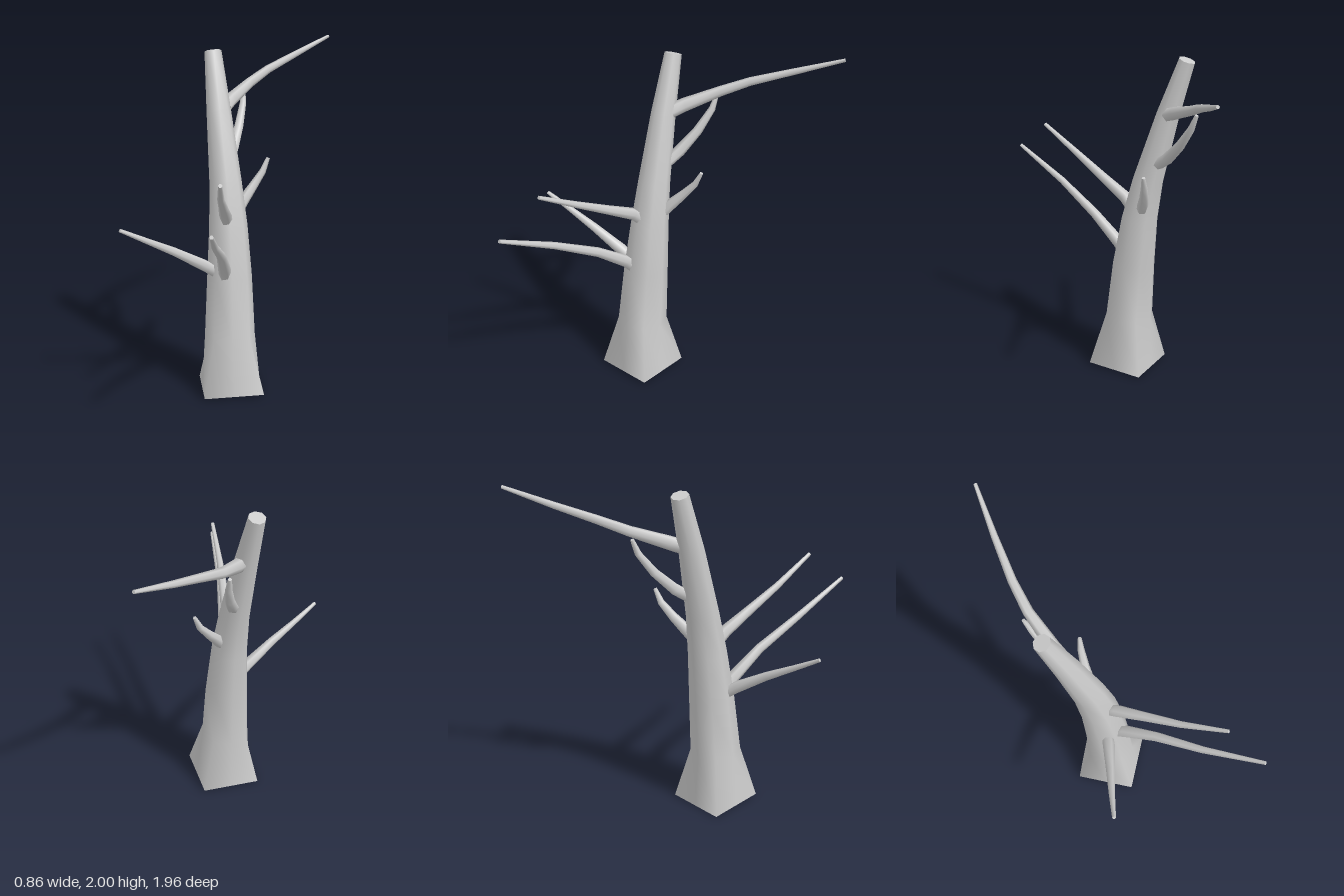
import * as THREE from 'three';

const V = (a) => new THREE.Vector3(a[0], a[1], a[2]);
const bark = new THREE.MeshStandardMaterial({ color: 0xcccccc, side: THREE.DoubleSide });

// Smooth tapered tube through points [x, y, z, radius]; rings are perpendicular to the path.
function loft(name, points, sides, { startCap = true, squareStart = false, ref = [0, 0, 1] } = {}) {
  const pos = [], idx = [];
  const centers = points.map(V);
  const last = points.length - 1;
  const ringPoint = (i, s) => {
    const dir = centers[Math.min(i + 1, last)].clone().sub(centers[Math.max(i - 1, 0)]).normalize();
    const v = V(ref).addScaledVector(dir, -V(ref).dot(dir)).normalize();
    const u = dir.clone().cross(v).negate(); // u, v, dir: u runs towards -x for an upright path
    const a = (s / sides) * Math.PI * 2;
    let r = points[i][3];
    // odd steps of a square ring lie midway between its corners
    if (squareStart && i === 0 && s % 2) r *= Math.SQRT1_2;
    return centers[i].clone().addScaledVector(u, -Math.cos(a) * r).addScaledVector(v, -Math.sin(a) * r);
  };

  // side wall
  for (let i = 0; i <= last; i++) {
    for (let s = 0; s < sides; s++) pos.push(...ringPoint(i, s).toArray());
  }
  for (let i = 0; i < last; i++) {
    for (let s = 0; s < sides; s++) {
      const a = i * sides + s, b = i * sides + ((s + 1) % sides);
      idx.push(a, a + sides, b, b, a + sides, b + sides);
    }
  }

  // end caps with their own vertices, so the rims stay sharp
  const cap = (i, flip) => {
    const c = pos.length / 3;
    pos.push(...centers[i].toArray());
    for (let s = 0; s < sides; s++) pos.push(...ringPoint(i, s).toArray());
    for (let s = 0; s < sides; s++) {
      const a = c + 1 + s, b = c + 1 + ((s + 1) % sides);
      idx.push(c, flip ? a : b, flip ? b : a);
    }
  };
  if (startCap) cap(0, true);
  cap(last, false);

  // make the winding face outward whatever the frame's handedness
  const e = (k) => V(pos.slice(idx[k] * 3, idx[k] * 3 + 3));
  const normal = e(1).sub(e(0)).cross(e(2).sub(e(0)));
  if (normal.dot(e(0).sub(centers[0])) < 0) {
    for (let k = 0; k < idx.length; k += 3) [idx[k + 1], idx[k + 2]] = [idx[k + 2], idx[k + 1]];
  }

  const geo = new THREE.BufferGeometry();
  geo.setAttribute('position', new THREE.Float32BufferAttribute(pos, 3));
  geo.setIndex(idx);
  geo.computeVertexNormals();
  const mesh = new THREE.Mesh(geo, bark);
  mesh.name = name;
  return mesh;
}

export function createModel() {
  const tree = new THREE.Group();
  tree.name = 'bareTree';

  // leaning trunk: square flared foot, open below, round above
  tree.add(loft('trunk', [
    [-0.085, 0.01, 0.195, 0.25],
    [-0.095, 0.34, 0.19, 0.15],
    [-0.115, 0.7, 0.163, 0.133],
    [-0.143, 1.0, 0.135, 0.113],
    [-0.185, 1.25, 0.105, 0.095],
    [-0.28, 1.65, 0.043, 0.072],
    [-0.37, 1.985, -0.02, 0.05],
  ], 8, { startCap: false, squareStart: true }));

  // branches, bent upward near the trunk
  const branches = {
    lowerLeftBranch: [
      [-0.08, 0.73, 0.25, 0.035], [-0.05, 0.79, 0.29, 0.038], [0.06, 0.93, 0.45, 0.029],
      [0.21, 1.08, 0.69, 0.021], [0.42, 1.25, 0.97, 0.011]],
    upperLeftBranch: [
      [-0.11, 1.04, 0.19, 0.034], [-0.08, 1.1, 0.24, 0.037], [0.02, 1.19, 0.38, 0.028],
      [0.14, 1.3, 0.55, 0.02], [0.3, 1.445, 0.75, 0.011]],
    lowerRightBranch: [
      [-0.15, 0.74, 0.25, 0.034], [-0.18, 0.79, 0.31, 0.036], [-0.27, 0.9, 0.47, 0.026],
      [-0.35, 0.985, 0.61, 0.018], [-0.425, 1.07, 0.75, 0.011]],
    lowerBackBranch: [
      [-0.13, 1.08, 0.05, 0.032], [-0.125, 1.13, 0.01, 0.034], [-0.11, 1.2, -0.06, 0.027],
      [-0.09, 1.28, -0.13, 0.02], [-0.075, 1.36, -0.165, 0.011]],
    middleBackBranch: [
      [-0.22, 1.37, 0.02, 0.035], [-0.25, 1.42, -0.05, 0.035], [-0.29, 1.53, -0.16, 0.028],
      [-0.325, 1.65, -0.245, 0.02], [-0.345, 1.735, -0.275, 0.011]],
    upperBackBranch: [
      [-0.27, 1.67, 0.0, 0.042], [-0.285, 1.7, -0.08, 0.04], [-0.305, 1.77, -0.29, 0.03],
      [-0.295, 1.83, -0.46, 0.025], [-0.255, 1.9, -0.7, 0.019], [-0.2, 1.985, -0.98, 0.01]],
  };
  for (const [name, points] of Object.entries(branches)) {
    tree.add(loft(name, points, 6, { ref: [0, 1, 0] }));
  }
  return tree;
}
